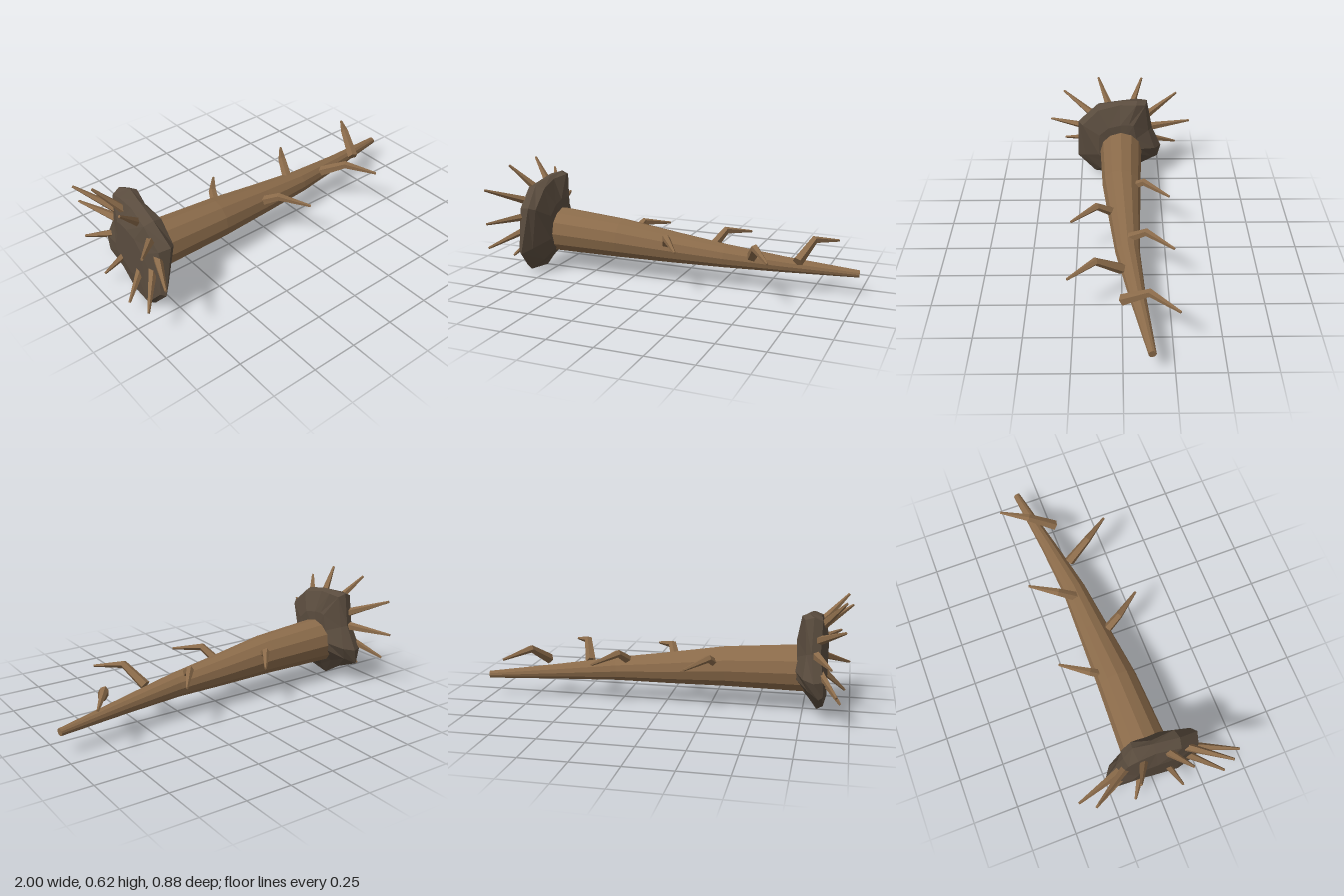
import * as THREE from 'three';

const V = (x, y, z) => new THREE.Vector3(x, y, z);
const bark = new THREE.MeshStandardMaterial({ color: 0x8b6b4a, flatShading: true });
const soil = new THREE.MeshStandardMaterial({ color: 0x5a4c3e, flatShading: true });

// Closed skin over a list of equal rings, capped at both ends
function skin(rings) {
  const n = rings[0].length, pos = [];
  const tri = (a, b, c) => pos.push(...a.toArray(), ...b.toArray(), ...c.toArray());
  const mid = (r) => r.reduce((s, p) => s.add(p), V(0, 0, 0)).divideScalar(n);
  const first = rings[0], last = rings[rings.length - 1];
  const m0 = mid(first), m1 = mid(last);
  for (let j = 0; j < n; j++) {
    const k = (j + 1) % n;
    for (let i = 0; i < rings.length - 1; i++) {
      const a = rings[i], b = rings[i + 1];
      tri(a[j], a[k], b[k]);
      tri(a[j], b[k], b[j]);
    }
    tri(m0, first[k], first[j]);
    tri(m1, last[j], last[k]);
  }
  const g = new THREE.BufferGeometry();
  g.setAttribute('position', new THREE.Float32BufferAttribute(pos, 3));
  g.computeVertexNormals();
  return g;
}

// Tapered limb through points, one radius per point
function limb(points, radii, sides) {
  const up = V(0, 1, 0);
  return skin(points.map((p, i) => {
    const prev = points[Math.max(i - 1, 0)], next = points[Math.min(i + 1, points.length - 1)];
    const t = next.clone().sub(prev).normalize();
    const u = t.clone().cross(up).normalize(), w = t.clone().cross(u);
    return Array.from({ length: sides }, (_, j) => {
      const a = Math.PI + (j / sides) * Math.PI * 2;
      return p.clone().addScaledVector(u, radii[i] * Math.cos(a)).addScaledVector(w, radii[i] * Math.sin(a));
    });
  }));
}

export function createModel() {
  const model = new THREE.Group();
  const add = (name, geometry, material) => {
    const mesh = new THREE.Mesh(geometry, material);
    mesh.name = name;
    model.add(mesh);
  };

  // Fallen trunk, bending towards the back at its thin end
  add('trunk', limb(
    [V(-0.8, 0.236, -0.005), V(-0.33, 0.219, -0.005), V(0.0, 0.194, -0.02), V(0.28, 0.176, -0.033),
      V(0.6, 0.153, -0.075), V(1, 0.128, -0.138)],
    [0.132, 0.112, 0.087, 0.066, 0.044, 0.02], 12), bark);

  // Lumpy root plate: outline as [z, y], counter-clockwise about +x, lofted along x
  const outline = [[-0.12, 0.08], [-0.24, 0.13], [-0.258, 0.22], [-0.2, 0.36], [-0.165, 0.545], [-0.105, 0.555],
    [0, 0.545], [0.145, 0.515], [0.26, 0.41], [0.27, 0.14], [0.16, 0.02], [0, 0.004]];
  // Each ring: x, scale, lumpiness, lean of x with height, growth of scale with height
  const rings = [[-0.873, 0.5, 0, 0, 0], [-0.852, 0.93, 0.008, 0.05, 0], [-0.81, 1, 0.016, 0.1, 0],
    [-0.765, 0.86, 0.014, 0.06, 0.35], [-0.713, 0.5, 0.003, 0, 0]];
  add('rootPlate', skin(rings.map(([x, s, lump, lean, grow], i) => outline.map(([z, y], j) => {
    const h = y - 0.275, k = s * (1 + grow * h);
    return V(x + lean * h + lump * Math.sin(j * 2.3 + i), 0.275 + h * k, z * k);
  }))), soil);

  // Ten roots fanned in an ellipse behind the plate
  const tipX = [-0.935, -0.995, -0.97, -0.96, -0.96, -0.9, -0.93, -0.95, -0.97, -0.99];
  tipX.forEach((x, i) => {
    const a = (i / 10) * Math.PI * 2;
    const at = (px, s) => V(px, 0.35 + 0.283 * s * Math.sin(a), 0.44 * s * Math.cos(a));
    add('root', limb([at(-0.82, 0.42), at(x, 1)], [0.026, 0.007], 5), bark);
  });

  // Bent branch stubs alternating sides
  for (let i = 0; i < 5; i++) {
    const x = -0.25 + i * 0.25, s = i % 2 ? 1 : -1;
    add('branch', limb(
      [V(x - 0.055, 0.2, 0), V(x, 0.29, s * 0.135), V(x + 0.107, 0.259, s * 0.277)],
      [0.03, 0.022, 0.007], 5), bark);
  }
  return model;
}
